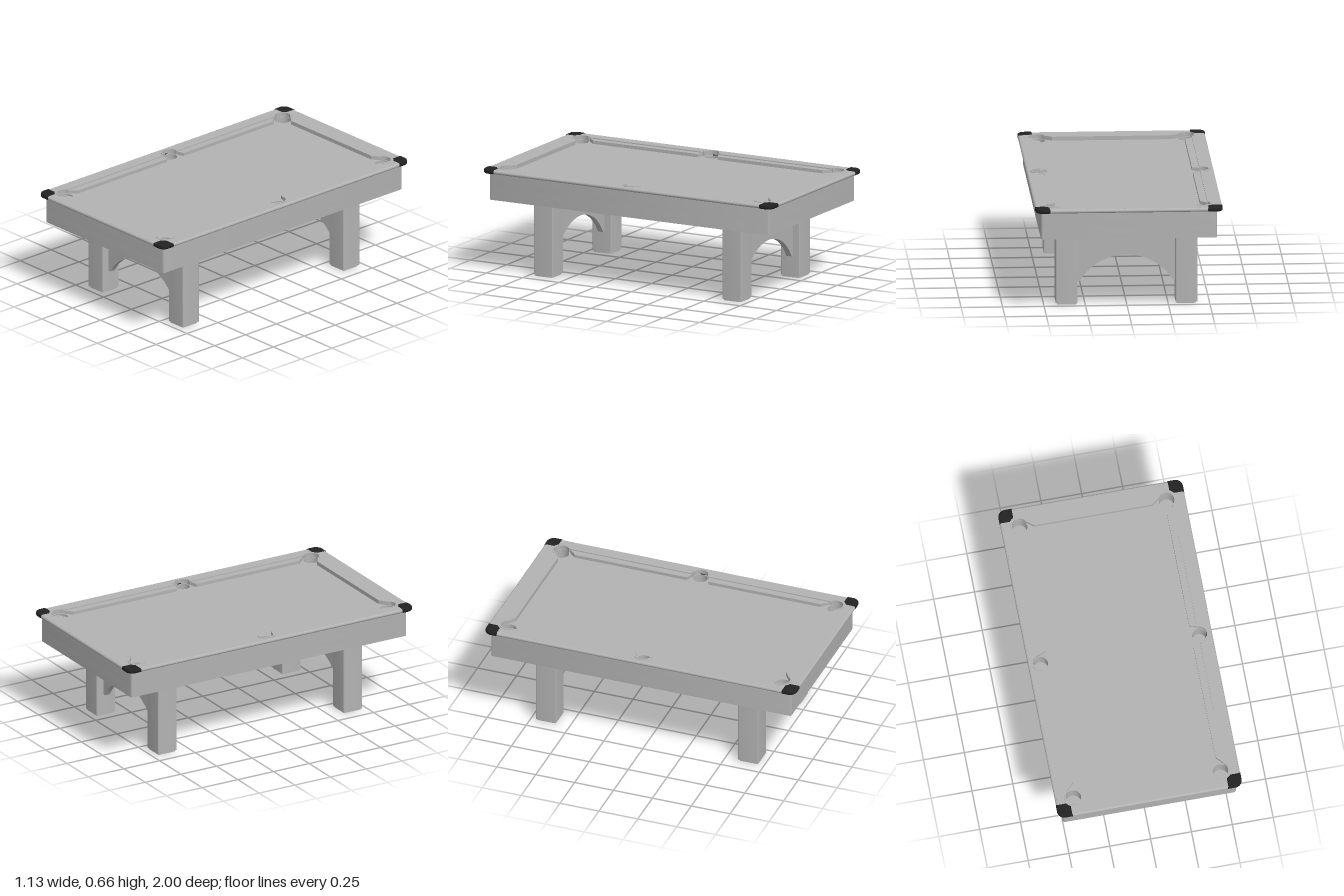
import * as THREE from 'three';
import { toCreasedNormals } from 'three/addons/utils/BufferGeometryUtils.js';

const grey = new THREE.MeshStandardMaterial({ color: 0xb2b2b2 });
grey.name = 'light grey';
const black = new THREE.MeshStandardMaterial({ color: 0x222222 });
black.name = 'black';

const CORNER = [0.45, 0.88], SIDE = [0.485, 0], POCKET_R = 0.047;
const quadrants = [[1, 1], [-1, 1], [-1, -1], [1, -1]];

const toShape = (pts) => new THREE.Shape(pts.map(([x, y]) => new THREE.Vector2(x, y)));
const mirror = (pts, sx, sz) => pts.map(([x, z]) => [x * sx, z * sz]);

// Points along an arc, angles in degrees
function arc([cx, cy], r, a0, a1, n) {
  return Array.from({ length: n + 1 }, (_, i) => {
    const a = THREE.MathUtils.degToRad(a0 + ((a1 - a0) * i) / n);
    return [cx + r * Math.cos(a), cy + r * Math.sin(a)];
  });
}

// Rounded rectangle outline from half sizes
function roundedRect(hx, hz, r) {
  return [
    ...arc([hx - r, hz - r], r, 0, 90, 6), ...arc([r - hx, hz - r], r, 90, 180, 6),
    ...arc([r - hx, r - hz], r, 180, 270, 6), ...arc([hx - r, r - hz], r, 270, 360, 6),
  ];
}

// Plan outline (x, z) extruded between two heights
function slab(shape, y0, y1, bevel = 0) {
  const geo = new THREE.ExtrudeGeometry(shape, {
    depth: y1 - y0 - 2 * bevel, bevelEnabled: bevel > 0, bevelThickness: bevel,
    bevelSize: bevel, bevelOffset: -bevel, bevelSegments: 5, curveSegments: 24,
  });
  geo.rotateX(Math.PI / 2);
  geo.translate(0, y1 - bevel, 0);
  return toCreasedNormals(geo, 0.6);
}

export function createModel() {
  const model = new THREE.Group();
  model.name = 'poolTable';
  const add = (name, geo, mat = grey) => {
    const mesh = new THREE.Mesh(geo, mat);
    mesh.name = name;
    model.add(mesh);
    return mesh;
  };

  // Body: solid base and a playing bed pierced by six pocket holes
  const bodyOutline = roundedRect(0.53, 0.965, 0.012);
  add('bodyBase', slab(toShape(bodyOutline), 0.465, 0.54));
  const bed = toShape(bodyOutline);
  const centres = [...quadrants.map(([sx, sz]) => [CORNER[0] * sx, CORNER[1] * sz]),
    SIDE, [-SIDE[0], 0]];
  // The side holes stop just inside the body wall
  for (const c of centres) {
    const r = c[1] === 0 ? 0.043 : POCKET_R;
    bed.holes.push(toShape(arc(c, r, 0, 345, 23)));
  }
  add('playingBed', slab(bed, 0.54, 0.63));

  // Thin dark line between body and rails
  const trim = toShape(roundedRect(0.536, 0.971, 0.014));
  trim.holes.push(toShape(roundedRect(0.5295, 0.9645, 0.012)));
  add('shadowTrim', slab(trim, 0.628, 0.634), black);

  // Rail deck: the opening follows end cushions, jaws and pockets
  const quarter = [
    [0.36, 0.868], ...arc(CORNER, POCKET_R, 148, -50, 18),
    [0.48, 0.83], ...arc(SIDE, POCKET_R, 96, 0, 10),
  ];
  const opening = [];
  quadrants.forEach(([sx, sz], i) => {
    const pts = mirror(quarter, sx, sz);
    opening.push(...(i % 2 ? pts.reverse() : pts));
  });
  // Quarters run 1, 4, 3, 2 so that the outline closes without crossing
  const n = quarter.length;
  const loop = [0, 3, 2, 1].flatMap((q) => opening.slice(q * n, q * n + n));
  const deck = toShape(roundedRect(0.553, 0.988, 0.035));
  deck.holes.push(toShape(loop));
  add('railDeck', slab(deck, 0.632, 0.656));

  // Rounded outer edges of the rails
  for (const s of [1, -1]) {
    const long = add('sideRailEdge', new THREE.CylinderGeometry(0.012, 0.012, 1.86, 20));
    long.rotation.x = Math.PI / 2;
    long.position.set(s * 0.552, 0.644, 0);
    const short = add('endRailEdge', new THREE.CylinderGeometry(0.012, 0.012, 0.98, 20));
    short.rotation.z = Math.PI / 2;
    short.position.set(0, 0.644, s * 0.987);
  }

  const cushion = [[0.49, 0.05], [0.437, 0.068], [0.437, 0.79], [0.478, 0.833], [0.49, 0.833]];
  const cap = [
    [0.475, 1], ...arc([0.52, 0.955], 0.045, 90, 0, 10),
    [0.565, 0.915], ...arc(CORNER, 0.062, 34.5, 66, 8),
  ];
  const cornerCollar = [...arc(CORNER, 0.056, -52, 142, 22), ...arc(CORNER, POCKET_R, 142, -52, 22)];
  const foot = toShape(roundedRect(0.058, 0.058, 0.005));
  const leg = toShape(roundedRect(0.066, 0.066, 0.006));

  for (const [sx, sz] of quadrants) {
    // Side cushions, corner caps and raised pocket rims
    add('sideCushion', slab(toShape(mirror(cushion, sx, sz)), 0.629, 0.65));
    add('cornerCap', slab(toShape(mirror(cap, sx, sz)), 0.631, 0.66, 0.011), black);
    add('cornerPocketRim', slab(toShape(mirror(cornerCollar, sx, sz)), 0.64, 0.659));

    // Legs with a slightly smaller foot
    const legMesh = add('leg', slab(leg, 0.01, 0.466));
    const footMesh = add('foot', slab(foot, 0, 0.011));
    for (const m of [legMesh, footMesh]) m.position.set(sx * 0.361, 0, sz * 0.65);
  }

  const sideCollar = [...arc(SIDE, 0.056, -92, 92, 22), ...arc(SIDE, POCKET_R, 92, -92, 22)];
  for (const s of [1, -1]) {
    add('sidePocketRim', slab(toShape(mirror(sideCollar, s, 1)), 0.64, 0.66));
  }

  // Arched panels between each pair of legs
  const arch = toShape([
    [-0.3, 0.445], [-0.3, 0.135], ...arc([0, -0.03], 0.325, 149.5, 30.5, 36),
    [0.3, 0.135], [0.3, 0.445],
  ]);
  const archGeo = toCreasedNormals(
    new THREE.ExtrudeGeometry(arch, { depth: 0.036, bevelEnabled: false }).translate(0, 0, -0.018), 0.5);
  for (const s of [1, -1]) add('archPanel', archGeo).position.z = s * 0.65;

  return model;
}
